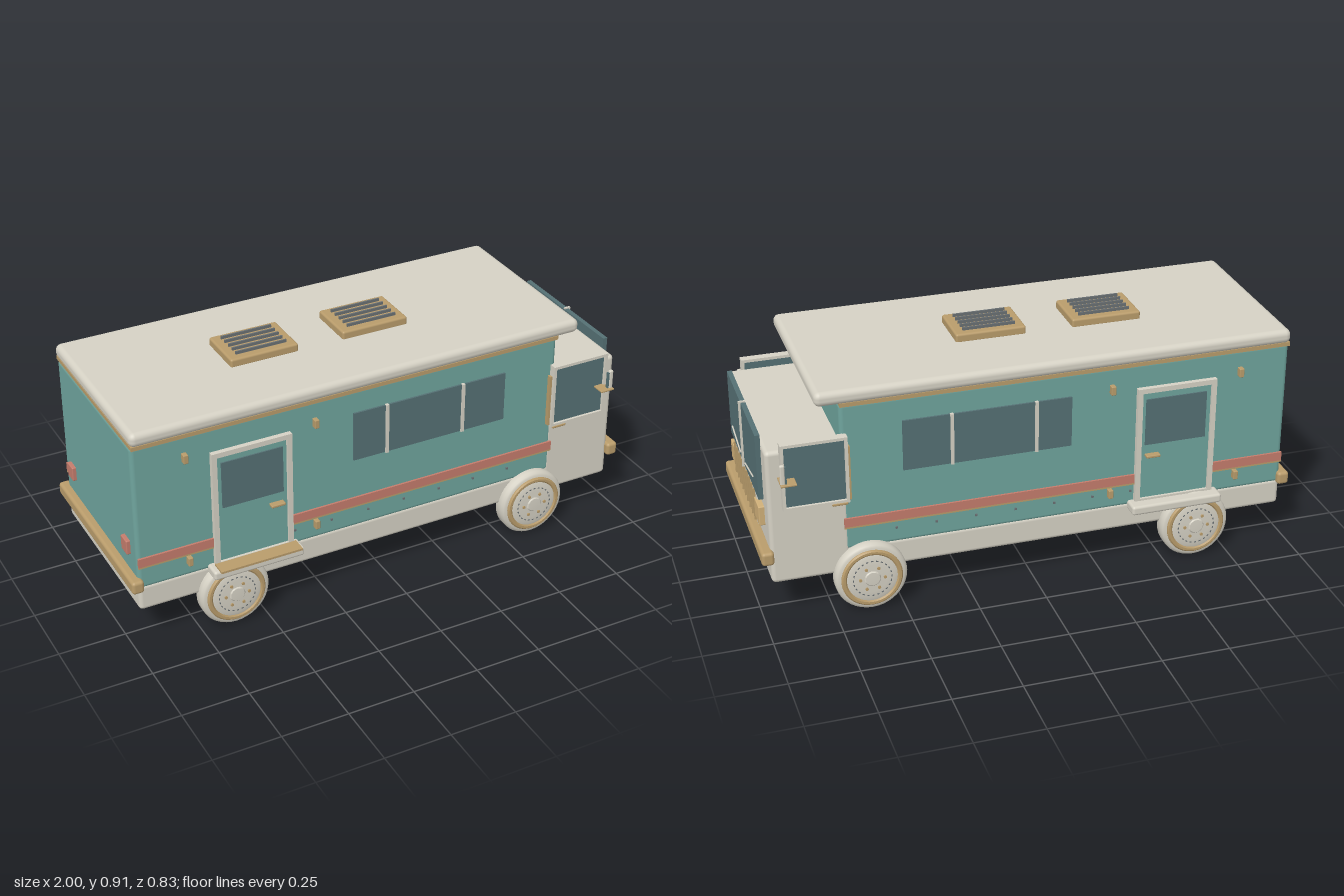
import * as THREE from 'three';
import { toCreasedNormals } from 'three/addons/utils/BufferGeometryUtils.js';
import { RoundedBoxGeometry } from 'three/addons/geometries/RoundedBoxGeometry.js';

const paint = (name, color) => Object.assign(new THREE.MeshStandardMaterial({ color }), { name });

export function createModel() {
  const cream = paint('cream', 0xd5d1c4);
  const teal = paint('teal', 0x6fa49d);
  const gold = paint('gold', 0xb99c6b);
  const glass = paint('glass', 0x557074);
  const salmon = paint('salmon', 0xc47c6c);
  const lamp = paint('lamp', 0xd0b079);
  const slate = paint('slate', 0x6a7073);

  const model = new THREE.Group();
  model.name = 'camper';
  const van = new THREE.Group();
  van.name = 'van';
  van.position.z = -0.006;
  model.add(van);

  const add = (name, geo, mat, x, y, z, parent = van) => {
    const m = new THREE.Mesh(geo, mat);
    m.name = name;
    m.position.set(x, y, z);
    parent.add(m);
    return m;
  };

  // box given by its limits; r rounds the edges, s = -1 mirrors it across z
  const box = (name, mat, [x0, x1], [y0, y1], [z0, z1], r = 0, s = 1) => {
    const size = [x1 - x0, y1 - y0, z1 - z0];
    const geo = r ? new RoundedBoxGeometry(...size, 3, r) : new THREE.BoxGeometry(...size);
    return add(name, geo, mat, (x0 + x1) / 2, (y0 + y1) / 2, s * (z0 + z1) / 2);
  };

  // rectangular frame with a hole, in the xy plane
  const frame = (name, mat, [x0, x1], [y0, y1], [z0, z1], t, s) => {
    const rect = (C, d) => new C([
      new THREE.Vector2(x0 + d, y0 + d), new THREE.Vector2(x1 - d, y0 + d),
      new THREE.Vector2(x1 - d, y1 - d), new THREE.Vector2(x0 + d, y1 - d)]);
    const shape = rect(THREE.Shape, 0);
    shape.holes.push(rect(THREE.Path, t));
    const geo = new THREE.ExtrudeGeometry(shape, { depth: z1 - z0, bevelEnabled: false });
    return add(name, geo, mat, 0, 0, s > 0 ? z0 : -z1);
  };

  const rod = (name, mat, a, b, r) => {
    const p = new THREE.Vector3(...a), q = new THREE.Vector3(...b);
    const m = add(name, new THREE.CylinderGeometry(r, r, p.distanceTo(q), 8), mat, 0, 0, 0);
    m.position.copy(p).add(q).multiplyScalar(0.5);
    m.quaternion.setFromUnitVectors(new THREE.Vector3(0, 1, 0), q.sub(p).normalize());
    return m;
  };

  // main shells
  box('chassis', cream, [-0.97, 0.96], [0.147, 0.25], [-0.343, 0.343], 0.015);
  box('livingBody', teal, [-0.97, 0.702], [0.238, 0.812], [-0.343, 0.343], 0.016);
  box('cab', cream, [0.68, 0.965], [0.147, 0.667], [-0.343, 0.343], 0.016);
  box('roof', cream, [-0.972, 0.787], [0.815, 0.868], [-0.358, 0.358], 0.022);
  box('roofTrim', gold, [-0.968, 0.7], [0.805, 0.82], [-0.353, 0.353]);

  // roof vents with slats
  for (const x of [-0.355, 0.083]) {
    box('roofVent', gold, [x - 0.131, x + 0.131], [0.862, 0.897], [-0.095, 0.095], 0.008);
    for (let i = -2; i <= 2; i++)
      box('ventSlat', slate, [x - 0.098, x + 0.098], [0.89, 0.908], [i * 0.031 - 0.003, i * 0.031 + 0.003]);
  }

  // bumpers, front and rear
  box('frontBumper', gold, [0.955, 1], [0.233, 0.285], [-0.364, 0.364], 0.012);
  box('rearBumper', gold, [-1, -0.955], [0.235, 0.285], [-0.364, 0.364], 0.012);

  // windscreen, post and grille
  box('windscreen', glass, [0.964, 0.982], [0.45, 0.7], [-0.268, 0.268]);
  box('windscreenPost', cream, [0.965, 0.99], [0.445, 0.705], [-0.004, 0.004]);
  box('grillePanel', cream, [0.955, 0.98], [0.317, 0.458], [-0.214, 0.214], 0.006);
  for (let i = -4; i <= 4; i++)
    box('grilleBar', gold, [0.975, 0.988], [0.327, 0.452], [i * 0.046 - 0.003, i * 0.046 + 0.003]);

  // wheel parts, spun about y then turned to face +z
  const spin = (pts) => toCreasedNormals(new THREE.LatheGeometry(
    pts.map(p => new THREE.Vector2(...p)), 40).rotateX(Math.PI / 2), 0.7);
  const tyreGeo = spin([[0, 0], [0.118, 0], [0.127, 0.004], [0.132, 0.013], [0.132, 0.049], [0.127, 0.058], [0.118, 0.062], [0, 0.062]]);
  const rimGeo = spin([[0.09, 0.055], [0.112, 0.055], [0.112, 0.066], [0.107, 0.071], [0.098, 0.071], [0.09, 0.064]]);
  const hubGeo = spin([[0.096, 0.058], [0.094, 0.066], [0.08, 0.07], [0.055, 0.071], [0.03, 0.072], [0.026, 0.076], [0, 0.077]]);
  const boltGeo = new THREE.CylinderGeometry(0.006, 0.006, 0.008, 8).rotateX(Math.PI / 2);
  const slotGeo = new THREE.BoxGeometry(0.008, 0.004, 0.003);

  const wheel = (x, s) => {
    const g = new THREE.Group();
    g.name = 'wheel';
    g.position.set(x, 0.132, s * 0.316);
    if (s < 0) g.rotation.y = Math.PI;
    van.add(g);
    add('tyre', tyreGeo, cream, 0, 0, 0, g);
    add('rimRing', rimGeo, gold, 0, 0, 0, g);
    add('hub', hubGeo, cream, 0, 0, 0, g);
    for (let i = 0; i < 6; i++) {
      const a = i * Math.PI / 3;
      add('wheelBolt', boltGeo, gold, 0.045 * Math.cos(a), 0.045 * Math.sin(a), 0.072, g);
    }
    for (let i = 0; i < 24; i++) {
      const a = i * Math.PI / 12;
      add('hubSlot', slotGeo, slate, 0.07 * Math.cos(a), 0.07 * Math.sin(a), 0.0702, g).rotation.z = a + Math.PI / 2;
    }
  };

  // everything that exists on both sides
  for (const s of [1, -1]) {
    wheel(-0.62, s);
    wheel(0.615, s);

    // stripe, broken by the door
    for (const span of [[-0.968, -0.685], [-0.385, 0.7]]) {
      box('sideStripe', salmon, span, [0.334, 0.368], [0.342, 0.351], 0, s);
      box('stripeTrim', gold, span, [0.327, 0.334], [0.342, 0.35], 0, s);
    }

    // entry door and step
    box('entryDoor', teal, [-0.675, -0.39], [0.255, 0.71], [0.34, 0.352], 0, s);
    frame('doorFrame', cream, [-0.686, -0.383], [0.25, 0.716], [0.342, 0.362], 0.019, s);
    box('doorWindow', glass, [-0.65, -0.417], [0.487, 0.67], [0.351, 0.357], 0, s);
    box('doorHandle', gold, [-0.472, -0.418], [0.44, 0.45], [0.35, 0.376], 0.003, s);
    box('entryStep', cream, [-0.71, -0.36], [0.225, 0.261], [0.335, 0.404], 0.01, s);

    // long side window with dividers
    box('sideWindow', glass, [-0.137, 0.482], [0.527, 0.72], [0.342, 0.35], 0, s);
    for (const x of [-0.005, 0.305])
      box('windowDivider', cream, [x - 0.006, x + 0.006], [0.525, 0.722], [0.343, 0.356], 0, s);

    // marker lamps and rivets
    for (const x of [-0.78, -0.288])
      for (const y of [0.727, 0.307])
        box('markerLamp', gold, [x - 0.009, x + 0.009], [y - 0.017, y + 0.017], [0.342, 0.366], 0.003, s);
    for (let i = 0; i < 7; i++) {
      const x = -0.37 + i * 0.147;
      box('rivet', slate, [x - 0.004, x + 0.004], [0.296, 0.304], [0.342, 0.348], 0, s);
    }

    // cab window, hinge strip and handle
    box('cabWindow', glass, [0.69, 0.905], [0.455, 0.69], [0.342, 0.362], 0, s);
    frame('cabWindowFrame', cream, [0.681, 0.916], [0.446, 0.7], [0.34, 0.372], 0.011, s);
    box('cabHinge', gold, [0.672, 0.682], [0.45, 0.657], [0.342, 0.36], 0, s);
    box('cabHandle', gold, [0.688, 0.745], [0.438, 0.448], [0.342, 0.374], 0.003, s);

    // mirror on its arm
    box('mirrorArm', gold, [0.87, 0.926], [0.562, 0.569], [0.342, 0.412], 0.002, s);
    box('mirror', cream, [0.908, 0.926], [0.56, 0.641], [0.387, 0.402], 0.006, s);
    box('mirrorFace', glass, [0.903, 0.909], [0.568, 0.633], [0.389, 0.4], 0, s);

    // lamps and wipers
    box('headlight', lamp, [0.96, 0.986], [0.347, 0.422], [0.189, 0.271], 0.004, s);
    box('tailLight', salmon, [-0.985, -0.965], [0.355, 0.411], [0.235, 0.287], 0.004, s);
    rod('wiper', cream, [0.986, 0.508, s * 0.2], [0.986, 0.48, s * 0.045], 0.003);
  }

  // fold-out tread on the left step
  box('stepTread', gold, [-0.69, -0.375], [0.26, 0.268], [0.36, 0.418]);

  return model;
}
